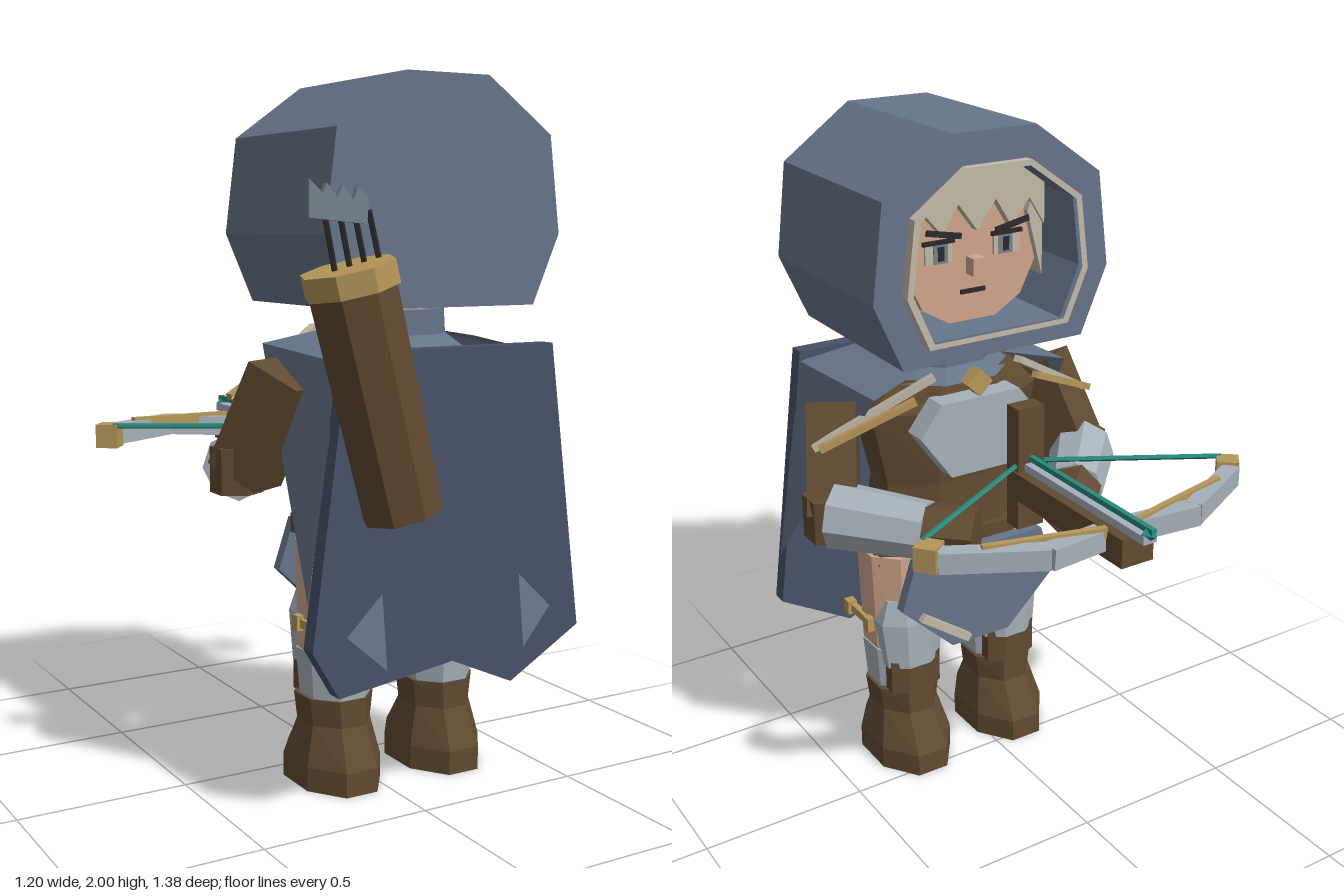
import * as THREE from 'three';

const CX = 0.08; // centre line of the figure

export function createModel() {
  const root = new THREE.Group();
  const mat = (name, color, double) => {
    const m = new THREE.MeshStandardMaterial({ color, flatShading: true });
    m.name = name;
    if (double) m.side = THREE.DoubleSide;
    return m;
  };
  const hoodBlue = mat('hood blue', 0x66758a, true);
  const capeBlue = mat('cape blue', 0x465268);
  const leather = mat('brown leather', 0x614a31);
  const steel = mat('steel', 0xa6b1b9);
  const gold = mat('gold', 0xb6975a);
  const skin = mat('skin', 0xd0a58c);
  const teal = mat('teal', 0x2a8a7e);
  const ivory = mat('ivory', 0xc2b9a8);
  const dark = mat('dark', 0x2c2a2c);
  const feather = mat('feather grey', 0x74828a);

  const add = (name, geo, m) => {
    const mesh = new THREE.Mesh(geo, m);
    mesh.name = name;
    root.add(mesh);
    return mesh;
  };
  const V = (p) => new THREE.Vector3(...p);
  const box = (name, m, x, y, z, w, h, d) => {
    const b = add(name, new THREE.BoxGeometry(w, h, d), m);
    b.position.set(x, y, z);
    return b;
  };
  // rectangular beam between two points
  const beam = (name, m, a, b, w, h) => {
    const A = V(a), B = V(b);
    const mesh = add(name, new THREE.BoxGeometry(w, h, A.distanceTo(B)), m);
    mesh.position.copy(A).add(B).multiplyScalar(0.5);
    mesh.lookAt(B);
    return mesh;
  };
  // faceted rod between two points
  const rod = (name, m, a, b, ra, rb, sides = 8) => {
    const A = V(a), B = V(b);
    const mesh = add(name, new THREE.CylinderGeometry(rb, ra, A.distanceTo(B), sides), m);
    mesh.position.copy(A).add(B).multiplyScalar(0.5);
    mesh.quaternion.setFromUnitVectors(new THREE.Vector3(0, 1, 0), B.sub(A).normalize());
    return mesh;
  };
  // flat outline extruded from z0 to z1
  const plate = (name, m, pts, z0, z1, hole) => {
    const shape = new THREE.Shape(pts.map((p) => new THREE.Vector2(...p)));
    if (hole) shape.holes.push(new THREE.Path(hole.map((p) => new THREE.Vector2(...p))));
    const g = new THREE.ExtrudeGeometry(shape, { depth: z1 - z0, bevelEnabled: false });
    g.translate(0, 0, z0);
    return add(name, g, m);
  };
  const facesGeo = (tris) => {
    const g = new THREE.BufferGeometry();
    g.setAttribute('position', new THREE.Float32BufferAttribute(tris.flat(2), 3));
    g.computeVertexNormals();
    return g;
  };
  // eight-sided body from sections [y, cx, cz, rx, rz]
  const loft = (name, m, sections) => {
    const k = 1 / Math.cos(Math.PI / 8), tris = [];
    const pt = ([y, cx, cz, rx, rz], i) => {
      const a = (i + 0.5) * Math.PI / 4;
      return [cx + Math.cos(a) * rx * k, y, cz + Math.sin(a) * rz * k];
    };
    const lo = sections[0], hi = sections[sections.length - 1];
    for (let i = 0; i < 8; i++) {
      for (let j = 0; j + 1 < sections.length; j++) {
        const a = pt(sections[j], i), b = pt(sections[j + 1], i);
        const c = pt(sections[j + 1], i + 1), d = pt(sections[j], i + 1);
        tris.push([a, b, c], [a, c, d]);
      }
      tris.push([[hi[1], hi[0], hi[2]], pt(hi, i + 1), pt(hi, i)]);
      tris.push([[lo[1], lo[0], lo[2]], pt(lo, i), pt(lo, i + 1)]);
    }
    return add(name, facesGeo(tris), m);
  };

  // hood: octagonal tunnel with a closed back and a trimmed opening
  const half = [[0.13, 2], [0.34, 1.85], [0.375, 1.58], [0.29, 1.385]];
  const outline = [...half.map(([x, y]) => [CX + x, y]),
    ...half.slice().reverse().map(([x, y]) => [CX - x, y])];
  const scaled = (k) => outline.map(([x, y]) => [CX + (x - CX) * k, 1.675 + (y - 1.69) * k]);
  plate('hood', hoodBlue, outline, -0.12, 0.4, scaled(0.74));
  plate('hoodBack', hoodBlue, outline, 0.4, 0.46);
  plate('hoodTrim', ivory, scaled(0.77), -0.148, -0.118, scaled(0.72));

  // head and face
  plate('head', skin, [[-0.13, 1.86], [-0.13, 1.6], [-0.08, 1.5], [0.02, 1.44], [0.14, 1.44],
    [0.24, 1.5], [0.29, 1.6], [0.29, 1.86]], 0, 0.34);
  plate('fringe', ivory, [[-0.14, 1.88], [-0.14, 1.7], [-0.09, 1.78], [-0.03, 1.71], [0.02, 1.79],
    [0.08, 1.71], [0.14, 1.79], [0.19, 1.71], [0.25, 1.78], [0.3, 1.7], [0.3, 1.88]], -0.03, 0.02);
  box('nose', skin, CX, 1.61, -0.015, 0.04, 0.05, 0.05);
  box('mouth', dark, CX, 1.535, -0.003, 0.08, 0.012, 0.008);
  for (const s of [-1, 1]) {
    plate('sideLock', ivory, [[CX + s * 0.22, 1.88], [CX + s * 0.22, 1.55], [CX + s * 0.17, 1.74]], -0.02, 0.2);
    box('eyeWhite', ivory, CX + s * 0.11, 1.655, -0.003, 0.085, 0.055, 0.008);
    box('iris', feather, CX + s * 0.105, 1.655, -0.006, 0.045, 0.055, 0.008);
    box('pupil', dark, CX + s * 0.105, 1.655, -0.009, 0.02, 0.04, 0.006);
    box('eyelid', dark, CX + s * 0.11, 1.687, -0.006, 0.1, 0.012, 0.009);
    box('brow', dark, CX + s * 0.11, 1.715, -0.035, 0.11, 0.016, 0.008).rotation.z = s * 0.2;
  }

  // neck, torso and belt
  loft('neck', skin, [[1.3, CX, 0.18, 0.1, 0.1], [1.46, CX, 0.18, 0.1, 0.1]]);
  loft('collar', hoodBlue, [[1.26, CX, 0.18, 0.2, 0.17], [1.3, CX, 0.18, 0.15, 0.13],
    [1.37, CX, 0.18, 0.145, 0.13]]);
  loft('tunic', leather, [[0.69, CX, 0.17, 0.27, 0.15], [0.79, CX, 0.17, 0.25, 0.145],
    [0.95, CX, 0.16, 0.23, 0.13], [1.18, CX, 0.16, 0.28, 0.15], [1.27, CX, 0.17, 0.2, 0.14]]);
  loft('belt', leather, [[0.735, CX, 0.17, 0.285, 0.168], [0.79, CX, 0.17, 0.285, 0.168]]);
  plate('chestPlate', steel, [[CX - 0.13, 1.23], [CX - 0.2, 1.14], [CX - 0.1, 1.0], [CX + 0.1, 1.0],
    [CX + 0.2, 1.14], [CX + 0.13, 1.23]], -0.045, 0.03);
  box('brooch', gold, CX, 1.27, -0.02, 0.06, 0.06, 0.04).rotation.z = Math.PI / 4;

  // front skirt flap with a pale stripe
  plate('frontFlap', hoodBlue, [[CX - 0.22, 0.75], [CX - 0.27, 0.6], [CX - 0.1, 0.435],
    [CX + 0.1, 0.435], [CX + 0.27, 0.6], [CX + 0.22, 0.75]], -0.035, 0.0);
  beam('flapStripe', ivory, [0.29, 0.57, -0.045], [0.13, 0.455, -0.045], 0.02, 0.025);

  // cape with turned-up lower corners
  plate('cape', capeBlue, [[-0.25, 1.28], [-0.355, 0.5], [-0.275, 0.365], [0.085, 0.415],
    [0.285, 0.325], [0.52, 0.46], [0.41, 1.28]], 0.45, 0.5);

  for (const s of [-1, 1]) {
    const X = (d) => CX + s * d;
    add('capeCorner', facesGeo([[[X(0.225), 0.635, 0.503], [X(0.225), 0.43, 0.53], [X(0.335), 0.53, 0.505]]]), hoodBlue);

    // mantle over the shoulder, falling to the cape edge
    const a = [X(0.14), 1.31, 0.05], b = [X(0.32), 1.27, 0], c = [X(0.33), 1.25, 0.455];
    const d = [X(0.14), 1.3, 0.39], e = [X(0.43), 0.62, 0.465];
    add('mantle', facesGeo([[a, b, c], [a, c, d], [b, e, c]]), hoodBlue);
    beam('mantleTrim', ivory, [X(0.14), 1.31, -0.02], [X(0.46), 1.12, 0.11], 0.025, 0.02);
    beam('mantleGoldTrim', gold, [X(0.2), 1.25, -0.02], [X(0.46), 1.13, 0.07], 0.02, 0.02);

    // arms
    beam('upperArm', leather, [X(0.35), 1.2, 0.2], [X(0.42), 0.91, 0.08], 0.14, 0.17);
    rod('elbow', leather, [X(0.44), 0.86, 0.07], [X(0.44), 0.99, 0.07], 0.075, 0.075, 6);
    rod('forearm', steel, [X(0.43), 0.93, 0.05], [X(0.25), 0.92, -0.16], 0.1, 0.085, 8);
    rod('hand', leather, [X(0.25), 0.92, -0.16], [X(0.15), 0.92, -0.26], 0.085, 0.08, 6);

    // legs
    const L = X(0.175);
    loft('boot', leather, [[0, L, 0.145, 0.122, 0.175], [0.07, L, 0.145, 0.122, 0.175],
      [0.185, L, 0.155, 0.095, 0.115], [0.265, L, 0.155, 0.105, 0.115]]);
    loft('bootFront', leather, [[0.26, L, 0.085, 0.085, 0.045], [0.37, L, 0.085, 0.085, 0.045]]);
    loft('greave', steel, [[0.26, L, 0.165, 0.095, 0.1], [0.4, L, 0.165, 0.105, 0.11]]);
    loft('kneePlate', steel, [[0.35, L, 0.1, 0.09, 0.063], [0.5, L, 0.11, 0.105, 0.075],
      [0.575, L, 0.11, 0.08, 0.06]]);
    loft('thigh', skin, [[0.38, L, 0.17, 0.1, 0.108], [0.72, L, 0.17, 0.11, 0.11]]);
    beam('kneeStrap', gold, [X(0.28), 0.48, 0.3], [X(0.28), 0.48, 0.14], 0.02, 0.025);
    for (const z of [0.15, 0.28]) box('strapStud', gold, X(0.285), 0.48, z, 0.03, 0.045, 0.03);
  }

  // quiver, leaning across the back
  const qTop = [-0.28, 1.47, 0.56], qBottom = [-0.12, 0.86, 0.56];
  rod('quiver', leather, qBottom, qTop, 0.11, 0.118);
  rod('quiverRing', gold, [-0.272, 1.44, 0.56], [-0.287, 1.5, 0.56], 0.126, 0.126);
  for (let i = 0; i < 4; i++) {
    const x = -0.345 + i * 0.043;
    rod('arrowShaft', dark, [x + 0.025, 1.47 + i * 0.01, 0.56], [x - 0.01, 1.64, 0.56], 0.008, 0.008, 5);
  }
  plate('fletching', feather, [[-0.4, 1.62], [-0.235, 1.605], [-0.23, 1.67], [-0.262, 1.695],
    [-0.275, 1.665], [-0.305, 1.7], [-0.32, 1.67], [-0.35, 1.705], [-0.362, 1.68], [-0.4, 1.715]], 0.552, 0.568);

  // crossbow
  const bx = -0.05;
  box('stock', leather, bx, 0.952, -0.345, 0.106, 0.085, 0.55);
  box('stockButt', leather, bx, 1.0, -0.08, 0.09, 0.38, 0.06);
  box('rail', steel, bx, 1.005, -0.38, 0.045, 0.025, 0.58);
  box('bolt', teal, bx, 1.032, -0.385, 0.016, 0.016, 0.6);
  rod('boltTip', teal, [bx, 1.02, -0.69], [bx, 1.02, -0.66], 0.005, 0.025, 4);
  for (const s of [-1, 1]) {
    const P = (d, y, z) => [bx + s * d, y, z];
    beam('bowInner', steel, P(0.02, 0.96, -0.515), P(0.25, 0.975, -0.56), 0.055, 0.06);
    beam('bowOuter', steel, P(0.24, 0.975, -0.56), P(0.5, 0.975, -0.42), 0.05, 0.06);
    beam('bowGoldStrip', gold, P(0.05, 0.99, -0.545), P(0.4, 1.0, -0.475), 0.018, 0.03);
    beam('bowTip', gold, P(0.49, 0.978, -0.415), P(0.53, 0.978, -0.365), 0.065, 0.07);
    rod('bowstring', teal, P(0.51, 1.01, -0.36), P(0, 1.01, -0.07), 0.008, 0.008, 5);
  }
  return root;
}
